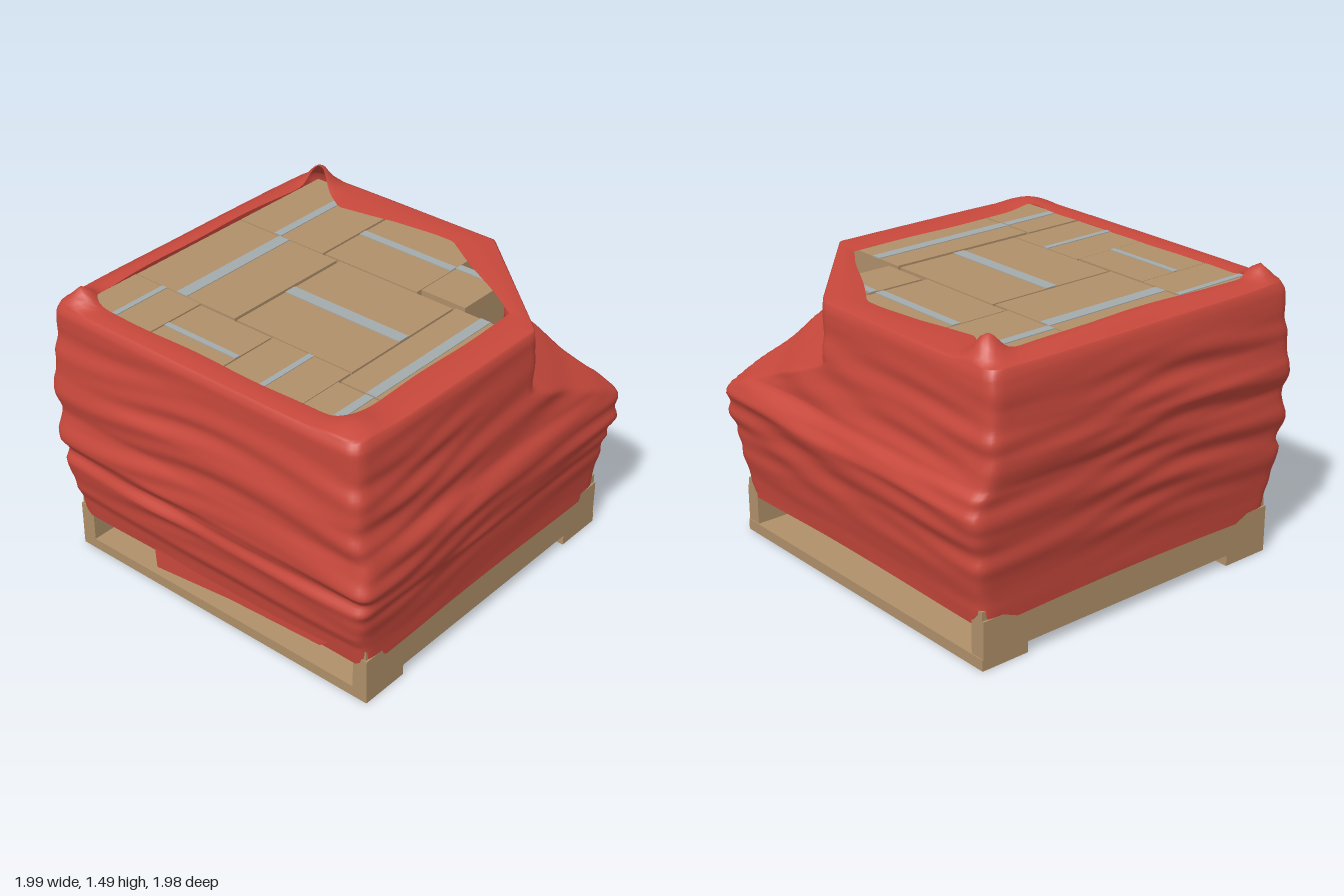
import * as THREE from 'three';

const { lerp, clamp, smoothstep } = THREE.MathUtils;
const mat = (color, side = THREE.FrontSide) => new THREE.MeshStandardMaterial({ color, side });
const WOOD = mat(0xb0906a), CARD = mat(0xb0906a), TAPE = mat(0xa3abad);
const FILM = mat(0xc8483c, THREE.DoubleSide);

// Box given by its limits on each axis
function block(name, material, x0, x1, y0, y1, z0, z1) {
  const m = new THREE.Mesh(new THREE.BoxGeometry(x1 - x0, y1 - y0, z1 - z0), material);
  m.position.set((x0 + x1) / 2, (y0 + y1) / 2, (z0 + z1) / 2);
  m.name = name;
  return m;
}

// Linear lookup in rows sorted by their first value
function lookup(rows, k, col) {
  if (k <= rows[0][0]) return rows[0][col];
  for (let i = 1; i < rows.length; i++) {
    if (k <= rows[i][0]) {
      const a = rows[i - 1], b = rows[i];
      return lerp(a[col], b[col], (k - a[0]) / (b[0] - a[0]));
    }
  }
  return rows[rows.length - 1][col];
}

// Push a point back behind the line nx*x + nz*z = d
function clip(p, nx, nz, d) {
  const over = Math.max(0, p[0] * nx + p[1] * nz - d);
  return [p[0] - nx * over, p[1] - nz * over];
}

// Wrap limits by height: y, left x, right x, back z, front z
const PROFILE = [
  [0.20, -0.89, 0.90, -0.915, 0.915], [0.32, -0.91, 0.915, -0.92, 0.92],
  [0.38, -0.94, 0.93, -0.925, 0.925], [0.50, -0.955, 0.95, -0.94, 0.94],
  [0.55, -0.97, 0.955, -0.945, 0.965], [0.60, -0.95, 0.96, -0.95, 0.965],
  [0.67, -0.99, 0.97, -0.95, 0.985], [0.76, -0.975, 0.995, -0.96, 0.985],
  [0.83, -0.965, 0.965, -0.96, 0.965], [0.87, -0.97, 0.925, -0.955, 0.945],
  [1.00, -0.975, 0.91, -0.985, 0.93], [1.12, -0.955, 0.895, -0.96, 0.92],
  [1.25, -0.94, 0.885, -0.965, 0.905], [1.36, -0.94, 0.88, -0.95, 0.90],
  [1.40, -0.92, 0.865, -0.935, 0.885],
];
// Right edge of the top opening: z, x
const OPENING = [[-0.82, 0.78], [-0.75, 0.76], [-0.55, 0.635], [-0.25, 0.70], [0, 0.72], [0.3, 0.72]];

// Point on a unit square, front-left corner first, with rounded corners
function squarePoint(u, r = 0.06) {
  const side = Math.floor(u * 4) % 4, t = (u * 4 - Math.floor(u * 4)) * 2 - 1;
  const q = [[t, 1], [1, -t], [-t, -1], [-1, t]][side];
  const inner = q.map(c => clamp(c, r - 1, 1 - r));
  const d = [q[0] - inner[0], q[1] - inner[1]], len = Math.hypot(...d);
  return [inner[0] + d[0] / len * r, inner[1] + d[1] / len * r];
}

// Outer skin of the wrap; the front right corner is cut off near the top
function skin(u, y) {
  const [a, b] = squarePoint(u), th = u * Math.PI * 2;
  const fold = smoothstep(y, 0.34, 0.6) * (1 - smoothstep(y, 1.1, 1.38));
  const wave = Math.sin(30 * y + 2 * Math.sin(3 * th) + 2 * th) * 0.5
    + Math.sin(55 * y - 3 * th + 2.5 * Math.sin(4 * th + 1)) * 0.35 * (0.6 + 0.4 * Math.sin(5 * th));
  const k = 1 - 0.015 * (a * b) ** 4 + wave * (0.002 + 0.012 * fold);
  const at = (s, lo, hi) => lerp(lookup(PROFILE, y, lo), lookup(PROFILE, y, hi), (s + 1) / 2) * k;
  const cut = lerp(1.4, 0.814, clamp((y - 0.76) / 0.34, 0, 1));
  const p = clip([at(a, 1, 2), at(b, 3, 4)], 0.754, 0.657, cut + wave * 0.012 * fold);
  return p;
}

// Torn inner edge of the film on top of the load
function openingEdge(u) {
  const [a, b] = squarePoint(u, 0.1), th = u * Math.PI * 2;
  const z = lerp(-0.81, 0.715, (b + 1) / 2);
  const x = lerp(-0.81, lookup(OPENING, z, 1), (a + 1) / 2);
  const p = clip([x, z], 0.859, 0.512, 0.67);
  const w = 1 + 0.006 * Math.sin(9 * th);
  return [p[0] * w, p[1] * w];
}

const bump = (x, z, cx, cz, r) => Math.exp(-((x - cx) ** 2 + (z - cz) ** 2) / (r * r));

function wrapGeometry() {
  const N = 224, ROWS = 76, RIM = [0.04, 0.12, 0.3, 0.55, 0.8, 1];
  const pos = [], index = [], TOP = 1.395;
  for (let j = 0; j <= ROWS; j++) {
    for (let i = 0; i < N; i++) {
      const [a, b] = squarePoint(i / N);
      const hem = 0.205 + 0.027 * (1 - (a * b) ** 2);
      const y = lerp(hem, TOP, j / ROWS), p = skin(i / N, y);
      pos.push(p[0], y, p[1]);
    }
  }
  // Flange folded in over the top, lifted along the back and peaked at corners
  for (const t of RIM) {
    for (let i = 0; i < N; i++) {
      const o = skin(i / N, TOP), h = openingEdge(i / N);
      const x = lerp(o[0], h[0], t), z = lerp(o[1], h[1], t);
      const back = smoothstep(-z, 0.68, 0.8) * Math.max(0, 1 - x * x) * 0.035 * smoothstep(t, 0, 0.6);
      const y = TOP + 0.006 * Math.sin(Math.PI * t) + back
        + 0.095 * bump(x, z, 0.76, -0.78, 0.07) + 0.065 * bump(x, z, -0.83, -0.83, 0.06)
        + 0.03 * bump(x, z, -0.8, 0.76, 0.1);
      pos.push(x, y, z);
    }
  }
  for (let j = 0; j < ROWS + RIM.length; j++) {
    for (let i = 0; i < N; i++) {
      const k = (i + 1) % N, a = j * N + i, b = j * N + k;
      index.push(a, b, b + N, a, b + N, a + N);
    }
  }
  const g = new THREE.BufferGeometry();
  g.setAttribute('position', new THREE.Float32BufferAttribute(pos, 3));
  g.setIndex(index);
  g.computeVertexNormals();
  return g;
}

// Carton footprints: x0, x1, z0, z1, tape direction, tape centre, tape width
const CARTONS = [
  [-0.88, -0.457, -0.87, -0.447, 'x', -0.68, 0.03], [-0.88, -0.465, -0.44, -0.003, 'z', -0.685, 0.03],
  [-0.88, -0.457, 0.003, 0.455, 'x', 0.23, 0.03], [-0.88, -0.55, 0.463, 0.87, 'x', 0.64, 0.045],
  [-0.45, 0.26, -0.87, -0.24, 'x', -0.575, 0.065], [-0.45, 0.265, -0.225, 0.455, 'z', -0.09, 0.065],
  [-0.54, 0.27, 0.47, 0.86, 'x', 0.64, 0.055], [0.267, 0.85, -0.87, -0.335, 'x', -0.625, 0.045],
  [0.275, 0.85, -0.325, 0.237, 'z', 0.555, 0.045], [0.3, 0.85, 0.245, 0.85, 'z', 0.58, 0.04],
];

function createCartons() {
  const g = new THREE.Group();
  g.name = 'cartons';
  const base = 0.3, h = 0.357, e = 0.004;
  for (let layer = 0; layer < 3; layer++) {
    CARTONS.forEach(([x0, x1, z0, z1, dir, c, w], n) => {
      // Smaller carton in the cut corner of the upper layers
      if (layer > 0 && n === CARTONS.length - 1) { x1 = 0.61; z1 = 0.5; }
      const y0 = base + layer * h, y1 = y0 + h - 0.005 - (n % 3) * 0.002;
      g.add(block('carton', CARD, x0, x1, y0, y1, z0, z1));
      const t = dir === 'x' ? [x0, x1, c - w / 2, c + w / 2] : [c - w / 2, c + w / 2, z0, z1];
      if (layer === 2) g.add(block('topTape', TAPE, t[0], t[1], y1 - e, y1 + e, t[2], t[3]));
      if (layer === 0) g.add(block('bottomTape', TAPE, t[0], t[1], y0 - e, y0 + e, t[2], t[3]));
    });
  }
  return g;
}

function createPallet() {
  const g = new THREE.Group();
  g.name = 'pallet';
  for (const x of [-0.75, 0.77]) g.add(block('bottomBoard', WOOD, x - 0.13, x + 0.13, 0.01, 0.065, -0.91, 0.91));
  for (const z of [-0.87, 0.87]) g.add(block('stringer', WOOD, -0.88, 0.895, 0.065, 0.25, z - 0.04, z + 0.04));
  for (const x of [-0.75, -0.24, 0.27, 0.77]) {
    g.add(block('deckBoard', WOOD, x - 0.125, x + 0.125, 0.25, 0.295, -0.9, 0.9));
  }
  return g;
}

// Loose end of film hanging below the hem on the right-hand side
function createFlap() {
  const s = new THREE.Shape([[0.7, 0.26], [0.65, 0.215], [0.1, 0.185], [-0.38, 0.13], [-0.39, 0.26]]
    .map(p => new THREE.Vector2(...p)));
  const m = new THREE.Mesh(new THREE.ShapeGeometry(s), FILM);
  m.rotation.y = -Math.PI / 2;
  m.position.x = -0.895;
  m.name = 'looseFilmEnd';
  return m;
}

export function createModel() {
  const model = new THREE.Group();
  model.name = 'wrappedPallet';
  const wrap = new THREE.Mesh(wrapGeometry(), FILM);
  wrap.name = 'stretchWrap';
  model.add(createPallet(), createCartons(), wrap, createFlap());
  return model;
}
